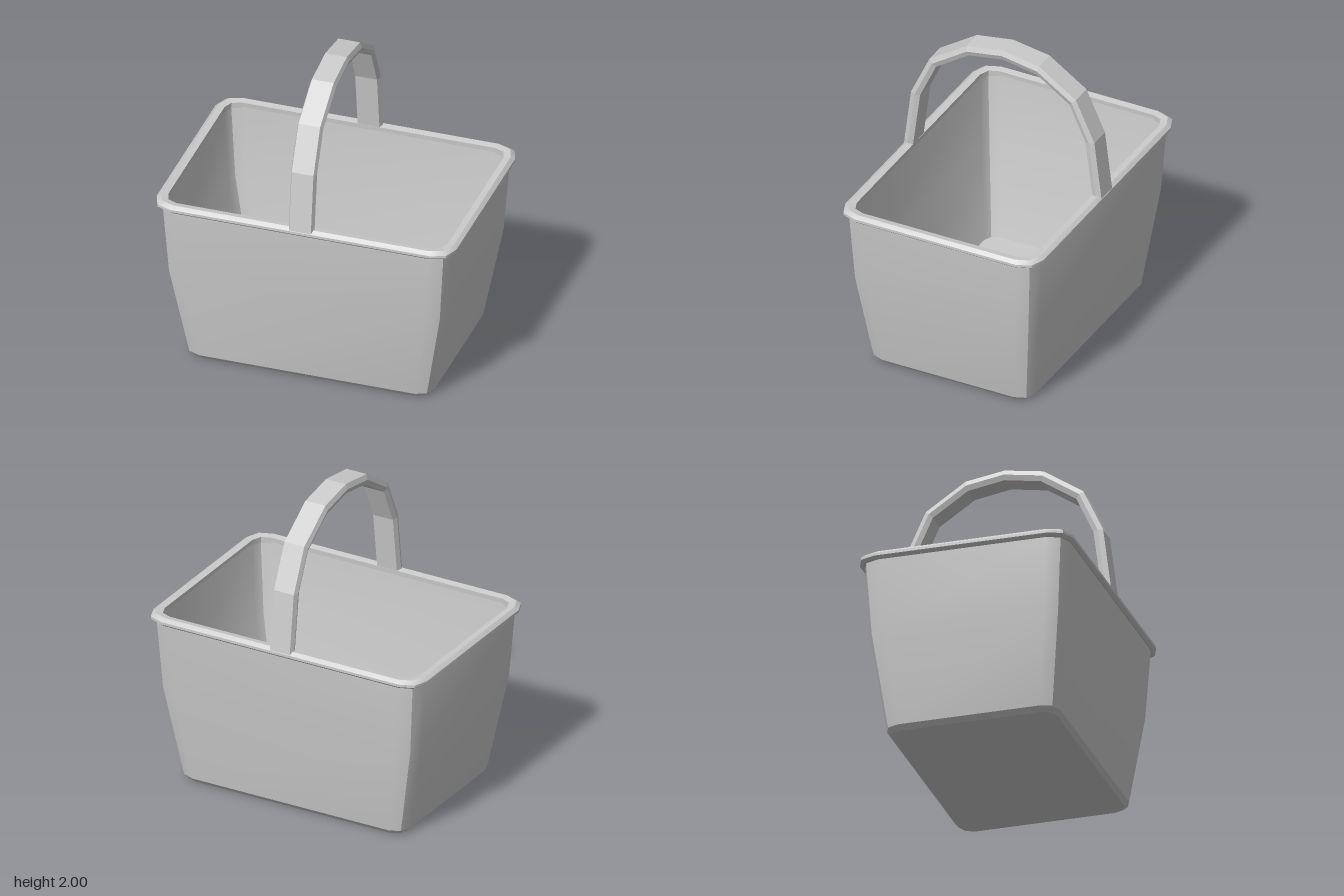
import * as THREE from 'three';
import { toCreasedNormals } from 'three/addons/utils/BufferGeometryUtils.js';

// Skin a list of equal-length rings; optional fan caps on both ends.
function loft(rings, capped) {
  const n = rings[0].length;
  const pos = [];
  const tri = (...pts) => pts.forEach(p => pos.push(p.x, p.y, p.z));
  for (let i = 0; i < rings.length - 1; i++) {
    const lo = rings[i], hi = rings[i + 1];
    for (let j = 0; j < n; j++) {
      const k = (j + 1) % n;
      tri(lo[j], hi[j], lo[k]);
      tri(lo[k], hi[j], hi[k]);
    }
  }
  if (capped) {
    const centre = r => r.reduce((s, p) => s.add(p), new THREE.Vector3()).divideScalar(n);
    const first = rings[0], last = rings[rings.length - 1];
    const c0 = centre(first), c1 = centre(last);
    for (let j = 0; j < n; j++) {
      const k = (j + 1) % n;
      tri(c0, first[j], first[k]);
      tri(c1, last[k], last[j]);
    }
  }
  const geo = new THREE.BufferGeometry();
  geo.setAttribute('position', new THREE.Float32BufferAttribute(pos, 3));
  geo.computeVertexNormals();
  return geo;
}

// Horizontal rectangle with two-step cut corners.
function ring([hx, hz, y, c]) {
  const q = 0.28 * c;
  const corner = [[hx, hz - c], [hx - q, hz - q], [hx - c, hz]];
  const flip = (sx, sz) => corner.map(([x, z]) => new THREE.Vector3(x * sx, y, z * sz));
  return [...flip(1, 1), ...flip(-1, 1).reverse(), ...flip(-1, -1), ...flip(1, -1).reverse()];
}

export function createModel() {
  const group = new THREE.Group();
  const smooth = new THREE.MeshStandardMaterial({ color: 0xcccccc });
  const flat = new THREE.MeshStandardMaterial({ color: 0xcccccc, flatShading: true });
  const add = (name, geo, mat) => {
    const mesh = new THREE.Mesh(geo, mat);
    mesh.name = name;
    group.add(mesh);
  };
  const crease = THREE.MathUtils.degToRad(30);

  // Hollow tub: up the outside, over the lip, down the inside to the floor
  const tub = [
    [0.765, 0.53, 0, 0.085],
    [0.795, 0.555, 0.03, 0.1],
    [0.907, 0.63, 0.63, 0.115],
    [0.94, 0.657, 1.1, 0.12],
    [0.905, 0.62, 1.12, 0.085],
    [0.868, 0.592, 0.63, 0.085],
    [0.75, 0.517, 0.04, 0.075],
  ].map(ring);
  add('basketBody', toCreasedNormals(loft(tub, true), crease), smooth);

  // Bevelled rim around the opening
  const rimRings = [
    [0.905, 0.62, 1.09, 0.09],
    [0.95, 0.667, 1.09, 0.12],
    [0.968, 0.684, 1.105, 0.128],
    [0.968, 0.684, 1.122, 0.128],
    [0.945, 0.66, 1.142, 0.12],
    [0.902, 0.617, 1.135, 0.085],
    [0.905, 0.62, 1.09, 0.09],
  ].map(ring);
  add('rim', toCreasedNormals(loft(rimRings, false), crease), smooth);

  // Arched handle: [outer z, outer y, inner z, inner y], mirrored front to back
  const half = [
    [0.682, 1.12, 0.62, 1.12],
    [0.632, 1.515, 0.57, 1.505],
    [0.505, 1.79, 0.46, 1.745],
    [0.25, 1.96, 0.235, 1.895],
  ];
  const back = half.map(([oz, oy, iz, iy]) => [-oz, oy, -iz, iy]).reverse();
  const arch = [...half, [0, 2, 0, 1.935], ...back];
  const handleRings = arch.map(([oz, oy, iz, iy]) => {
    const v = (x, t) => new THREE.Vector3(x, iy + (oy - iy) * t, iz + (oz - iz) * t);
    return [v(0.083, 0.5), v(0.07, 1), v(-0.07, 1), v(-0.083, 0.5), v(-0.07, 0), v(0.07, 0)];
  });
  add('handle', loft(handleRings, true), flat);

  return group;
}
